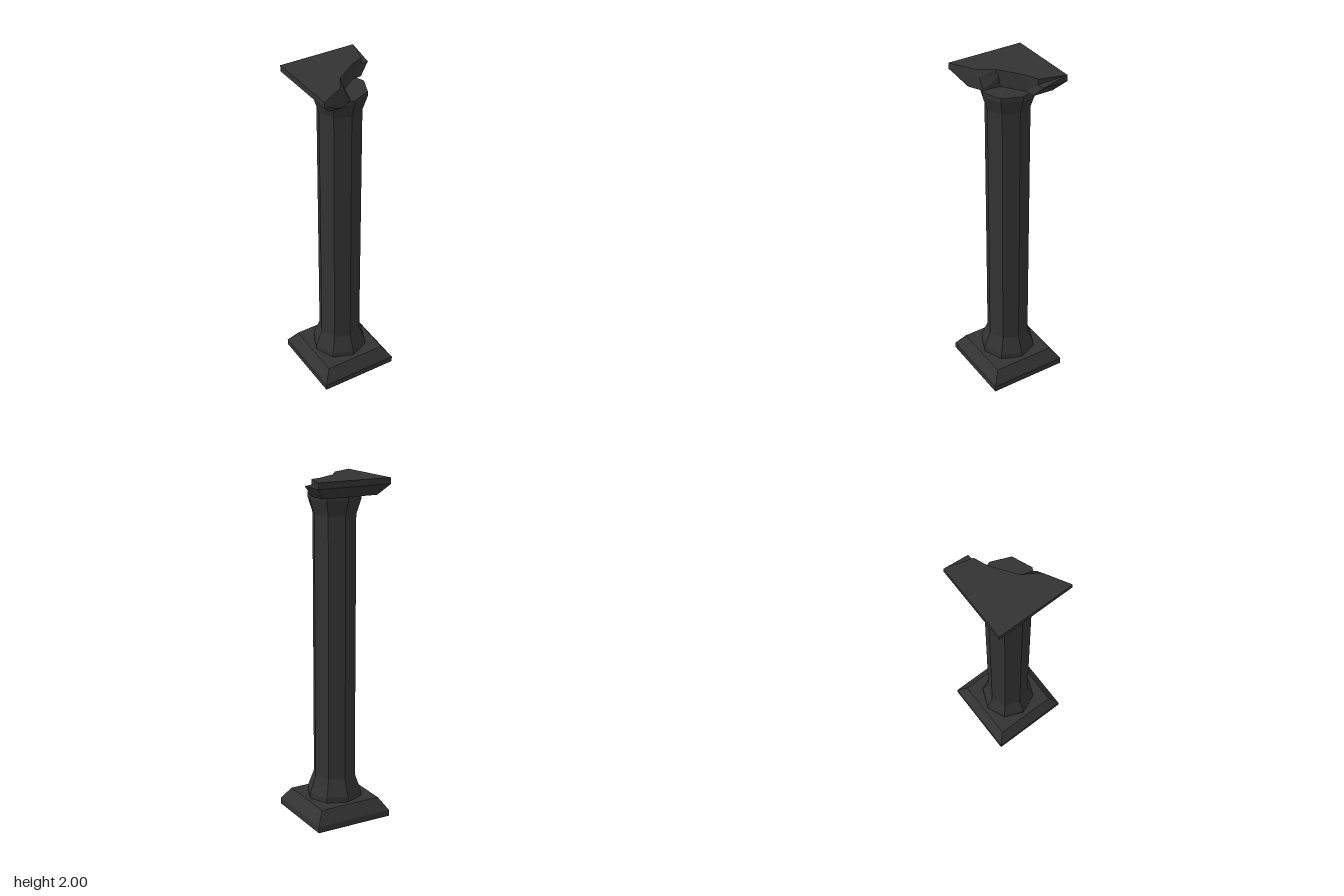
import * as THREE from 'three';

const stone = new THREE.MeshStandardMaterial({ color: 0x333333, flatShading: true });

// Faceted solid of revolution from [radius, y] pairs, bottom to top
function turned(name, profile, sides, phase = 0) {
  const points = profile.map(([r, y]) => new THREE.Vector2(r, y));
  const geometry = new THREE.LatheGeometry(points, sides, phase).toNonIndexed();
  geometry.computeVertexNormals();
  const mesh = new THREE.Mesh(geometry, stone);
  mesh.name = name;
  return mesh;
}

// Solid joining outlines of equal length, clockwise from above, bottom to top
function lofted(name, rings) {
  const positions = [];
  const tri = (...corners) => corners.forEach((c) => positions.push(...c));
  const levels = rings.map(({ y, outline }) => outline.map(([x, z]) => [x, y, z]));
  const n = levels[0].length;

  for (let k = 0; k < levels.length - 1; k++) {
    const lo = levels[k], hi = levels[k + 1];
    for (let i = 0; i < n; i++) {
      const j = (i + 1) % n;
      tri(lo[i], hi[i], lo[j]);
      tri(lo[j], hi[i], hi[j]);
    }
  }

  // Caps, each triangle turned to face up or down
  const cap = (level, up) => {
    const flat = level.map(([x, , z]) => new THREE.Vector2(x, -z));
    for (const [a, b, c] of THREE.ShapeUtils.triangulateShape(flat, [])) {
      const ccw = THREE.ShapeUtils.area([flat[a], flat[b], flat[c]]) > 0;
      if (ccw === up) tri(level[a], level[b], level[c]);
      else tri(level[a], level[c], level[b]);
    }
  };
  cap(levels[0], false);
  cap(levels[levels.length - 1], true);

  const geometry = new THREE.BufferGeometry();
  geometry.setAttribute('position', new THREE.Float32BufferAttribute(positions, 3));
  geometry.computeVertexNormals();
  const mesh = new THREE.Mesh(geometry, stone);
  mesh.name = name;
  return mesh;
}

export function createModel() {
  const group = new THREE.Group();
  group.name = 'brokenColumn';

  // Square plinth with a bevelled top
  const d = Math.SQRT2;
  group.add(turned('plinth', [
    [0, 0], [0.238 * d, 0], [0.238 * d, 0.037], [0.189 * d, 0.111], [0, 0.111],
  ], 4, Math.PI / 4));

  // Octagonal shaft, flared at foot and neck
  group.add(turned('shaft', [
    [0, 0.105], [0.164, 0.105], [0.164, 0.143], [0.126, 0.244],
    [0.126, 1.793], [0.154, 1.878], [0.154, 1.905], [0, 1.905],
  ], 8));

  // Square capital with the front left corner broken away
  group.add(lofted('brokenCapital', [
    { y: 1.903, outline: [
      [-0.172, -0.172], [0.172, -0.172], [0.172, -0.06], [0.168, -0.052], [0.11, -0.043],
      [-0.007, 0.041], [-0.016, 0.139], [-0.1, 0.182], [-0.172, 0.172]] },
    { y: 1.965, outline: [
      [-0.226, -0.226], [0.226, -0.226], [0.226, -0.076], [0.182, -0.071], [0.11, -0.043],
      [-0.014, 0.046], [-0.052, 0.143], [-0.205, 0.226], [-0.226, 0.226]] },
    { y: 2, outline: [
      [-0.226, -0.226], [0.226, -0.226], [0.225, -0.221], [0.183, -0.072], [0.11, -0.043],
      [-0.027, 0.054], [-0.088, 0.148], [-0.221, 0.224], [-0.226, 0.226]] },
  ]));

  return group;
}
